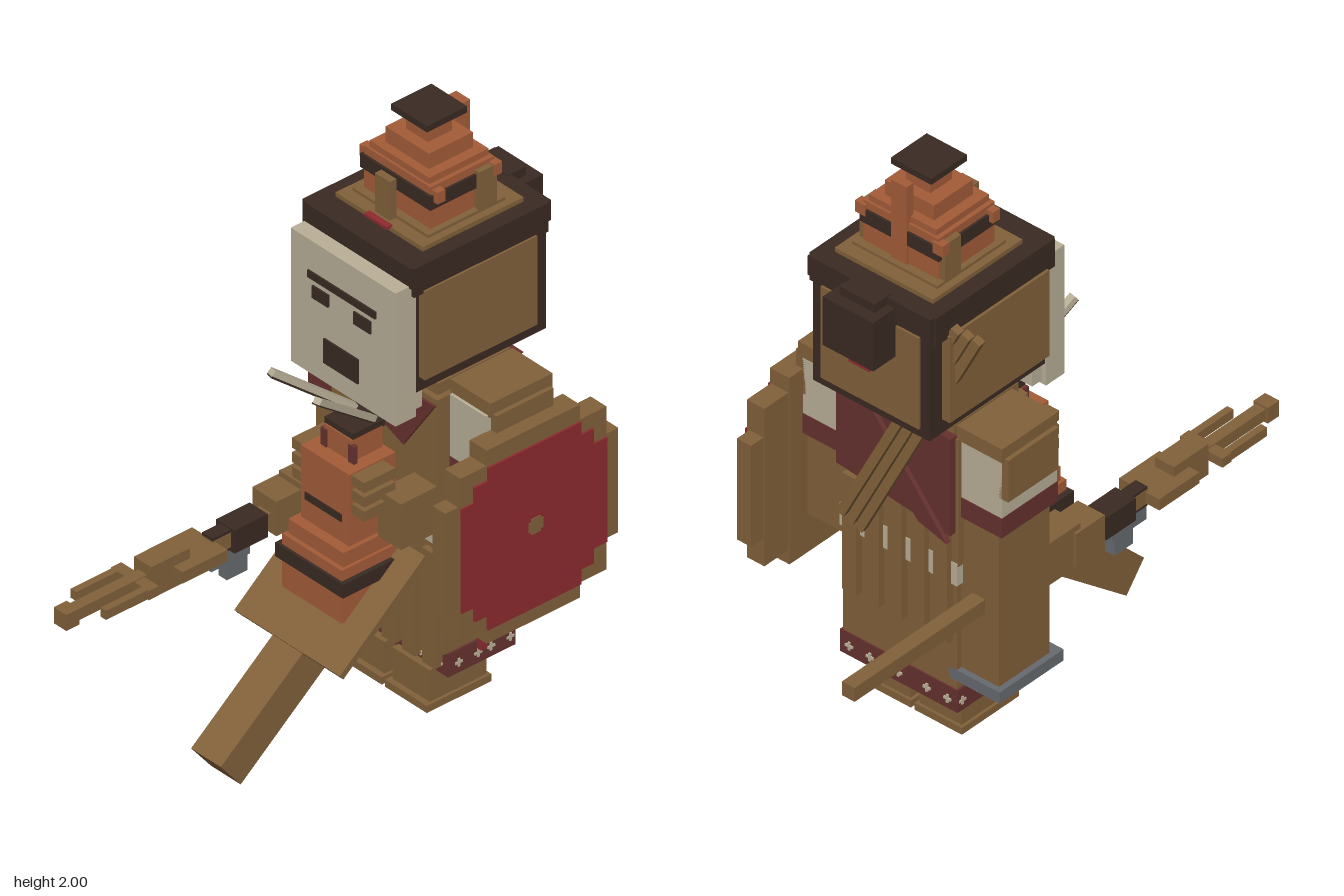
import * as THREE from 'three';

const mat = (name, color) => {
  const m = new THREE.MeshStandardMaterial({ color });
  m.name = name;
  return m;
};

export function createModel() {
  const wood = mat('brown', 0x82613a), dark = mat('darkBrown', 0x3a2a22), orange = mat('orange', 0xa45c38),
    cream = mat('cream', 0xbab098), maroon = mat('maroon', 0x66322f), red = mat('red', 0x8e2b2f), grey = mat('grey', 0x666b70);
  const root = new THREE.Group();
  root.name = 'warrior';
  const group = (name) => {
    const g = new THREE.Group();
    g.name = name;
    root.add(g);
    return g;
  };
  // Box from its limits on each axis
  const box = (g, name, m, x0, x1, y0, y1, z0, z1) => {
    const mesh = new THREE.Mesh(new THREE.BoxGeometry(x1 - x0, y1 - y0, z1 - z0), m);
    mesh.position.set((x0 + x1) / 2, (y0 + y1) / 2, (z0 + z1) / 2);
    mesh.name = name;
    g.add(mesh);
    return mesh;
  };
  // Square rod between two points
  const rod = (g, name, m, a, b, w, h = w) => {
    const p = new THREE.Vector3(...a), q = new THREE.Vector3(...b);
    const mesh = new THREE.Mesh(new THREE.BoxGeometry(w, h, p.distanceTo(q)), m);
    mesh.position.copy(p).add(q).multiplyScalar(0.5);
    mesh.lookAt(q);
    mesh.name = name;
    g.add(mesh);
    return mesh;
  };
  // Flat cloth piece in the xy plane
  const cloth = (g, name, m, pts, z, depth = 0.008) => {
    const shape = new THREE.Shape(pts.map((p) => new THREE.Vector2(...p)));
    const mesh = new THREE.Mesh(new THREE.ExtrudeGeometry(shape, { depth, bevelEnabled: false }), m);
    mesh.position.z = z;
    mesh.name = name;
    g.add(mesh);
  };

  // Feet
  const feet = group('feet');
  for (const [x0, x1] of [[-0.225, -0.042], [-0.028, 0.155]]) {
    box(feet, 'sole', wood, x0, x1, 0.045, 0.07, -0.33, -0.08);
    box(feet, 'boot', wood, x0 + 0.01, x1 - 0.01, 0.07, 0.18, -0.32, -0.1);
  }

  // Robe and torso
  const robe = group('robe');
  box(robe, 'hem', maroon, -0.257, 0.197, 0.17, 0.25, -0.385, -0.125);
  box(robe, 'skirt', wood, -0.25, 0.19, 0.25, 0.64, -0.38, -0.115);
  box(robe, 'belt', cream, -0.257, 0.197, 0.63, 0.71, -0.388, -0.1);
  box(robe, 'torso', wood, -0.26, 0.2, 0.7, 1.16, -0.385, -0.08);
  box(robe, 'neck', dark, -0.16, 0.1, 1.14, 1.28, -0.35, -0.1);
  box(robe, 'collar', wood, -0.24, 0.18, 1.14, 1.2, -0.38, -0.1);
  for (let i = 0; i < 5; i++) {
    const x = -0.235 + i * 0.088;
    box(robe, 'backPleat', wood, x, x + 0.055, 0.42, 0.84, -0.405, -0.37);
    box(robe, 'frontPleat', wood, x, x + 0.055, 0.2, 0.6, -0.13, -0.095);
  }
  for (const x of [-0.22, -0.14, -0.03, 0.08, 0.16]) {
    for (const z of [-0.388, -0.122]) {
      box(robe, 'hemStitch', cream, x - 0.014, x + 0.014, 0.203, 0.211, z - 0.003, z + 0.003);
      box(robe, 'hemStitch', cream, x - 0.004, x + 0.004, 0.193, 0.221, z - 0.003, z + 0.003);
    }
  }
  for (const z of [-0.365, -0.29, -0.24, -0.165]) {
    for (const x of [-0.258, 0.198]) {
      box(robe, 'hemStitch', cream, x - 0.003, x + 0.003, 0.203, 0.211, z - 0.014, z + 0.014);
      box(robe, 'hemStitch', cream, x - 0.003, x + 0.003, 0.193, 0.221, z - 0.004, z + 0.004);
    }
  }
  cloth(robe, 'lapel', maroon, [[-0.04, 0.98], [0.06, 0.94], [0.197, 1.14], [0.02, 1.14]], -0.08);
  cloth(robe, 'undershirt', cream, [[-0.03, 1.03], [0.04, 1.17], [-0.1, 1.17]], -0.078);
  cloth(robe, 'backCape', maroon, [[-0.25, 0.82], [0.19, 0.87], [0.19, 1.17], [-0.25, 1.17]], -0.41, 0.03);
  cloth(robe, 'capeFold', maroon, [[-0.25, 0.8], [-0.14, 0.83], [0.19, 1.17], [0.06, 1.17]], -0.425, 0.02);

  // Arms and sleeves
  const arms = group('arms');
  for (const [s, name] of [[-1, 'right'], [1, 'left']]) {
    const part = (n, m, a, b, y0, y1, z0, z1) => {
      const p = -0.03 + s * a, q = -0.03 + s * b;
      box(arms, name + n, m, Math.min(p, q), Math.max(p, q), y0, y1, z0, z1);
    };
    part('ShoulderPad', wood, 0.22, 0.395, 1.155, 1.205, -0.38, -0.14);
    part('ShoulderGuard', wood, 0.375, 0.41, 1.015, 1.165, -0.37, -0.15);
    part('UpperSleeve', cream, 0.22, 0.385, 0.94, 1.16, -0.37, -0.13);
    part('SleeveStripe', maroon, 0.22, 0.387, 0.875, 0.945, -0.373, -0.127);
  }
  box(arms, 'rightLowerSleeve', wood, -0.395, -0.25, 0.32, 0.88, -0.36, -0.14);
  box(arms, 'rightSleeveTrim', grey, -0.415, -0.22, 0.28, 0.32, -0.38, -0.1);
  box(arms, 'rightForearm', wood, -0.365, -0.265, 0.53, 0.68, -0.2, 0.03);
  box(arms, 'rightHand', wood, -0.375, -0.27, 0.54, 0.66, 0, 0.125);
  box(arms, 'leftLowerSleeve', wood, 0.19, 0.345, 0.58, 0.88, -0.36, -0.14);
  box(arms, 'leftForearm', wood, 0.1, 0.2, 0.7, 0.86, -0.2, 0.06);
  box(arms, 'buckle', grey, 0.225, 0.28, 0.55, 0.62, -0.13, -0.06);
  box(arms, 'buckleStud', wood, 0.24, 0.265, 0.575, 0.6, -0.062, -0.055);
  box(arms, 'dagger', grey, 0.235, 0.265, 0.5, 0.85, -0.13, -0.09);
  box(arms, 'tassel', red, 0.228, 0.245, 0.25, 0.56, -0.235, -0.21);
  box(arms, 'tassel', red, 0.265, 0.282, 0.31, 0.56, -0.255, -0.23);

  // Head with face plate
  const head = group('head');
  box(head, 'skull', dark, -0.255, 0.195, 1.22, 1.64, -0.505, 0);
  for (const x of [-0.285, 0.19]) box(head, 'sidePanel', wood, x, x + 0.03, 1.27, 1.58, -0.45, -0.015);
  box(head, 'backPanel', wood, -0.22, 0.16, 1.25, 1.58, -0.513, -0.5);
  box(head, 'hairBand', dark, -0.267, 0.207, 1.6, 1.67, -0.515, 0.027);
  for (const x of [-0.275, 0.2]) box(head, 'bandSide', dark, x, x + 0.013, 1.57, 1.67, -0.5, 0.02);
  box(head, 'crownPlate', wood, -0.22, 0.16, 1.66, 1.685, -0.45, -0.06);
  box(head, 'bun', dark, -0.13, 0.065, 1.47, 1.645, -0.61, -0.48);
  box(head, 'bunTop', dark, -0.1, 0.035, 1.63, 1.675, -0.57, -0.5);
  box(head, 'bunTie', red, -0.07, 0.01, 1.41, 1.48, -0.56, -0.5);
  box(head, 'faceCore', cream, -0.24, 0.18, 1.15, 1.59, -0.04, 0.03);
  box(head, 'faceMask', cream, -0.258, 0.198, 1.14, 1.605, 0, 0.08);
  const feature = (n, x0, x1, y0, y1) => box(head, n, dark, x0, x1, y0, y1, 0.078, 0.086);
  feature('brow', -0.18, 0.115, 1.475, 1.5);
  feature('eye', -0.16, -0.09, 1.412, 1.455);
  feature('eye', 0.02, 0.095, 1.412, 1.455);
  feature('mouth', -0.11, 0.04, 1.21, 1.295);

  // Tiered hat: half width, half depth, bottom, top
  const hat = group('hat');
  const tier = (n, m, hx, hz, y0, y1) => box(hat, n, m, -0.03 - hx, -0.03 + hx, y0, y1, -0.253 - hz, -0.253 + hz);
  tier('hatBrim', wood, 0.165, 0.15, 1.68, 1.695);
  tier('hatBase', orange, 0.145, 0.123, 1.69, 1.84);
  tier('hatBand', dark, 0.153, 0.131, 1.765, 1.813);
  tier('hatTier', orange, 0.13, 0.115, 1.83, 1.862);
  tier('hatTier', orange, 0.095, 0.085, 1.855, 1.915);
  tier('hatTop', orange, 0.047, 0.047, 1.91, 1.985);
  tier('hatCap', dark, 0.078, 0.078, 1.978, 2);
  for (const x of [-0.19, 0.11]) for (const z of [-0.37, -0.15])
    box(hat, 'hatCorner', orange, x - 0.01, x + 0.03, 1.79, 1.83, z - 0.015, z + 0.015);
  box(hat, 'hatPlaque', wood, -0.065, 0, 1.69, 1.825, -0.1, -0.075);
  for (const x of [-0.195, 0.115]) box(hat, 'hatSideTab', wood, x, x + 0.02, 1.69, 1.825, -0.37, -0.3);
  box(hat, 'hatPost', orange, -0.06, 0, 1.69, 1.975, -0.385, -0.355);
  box(hat, 'hatRibbon', red, -0.08, 0.02, 1.68, 1.69, -0.067, -0.045);

  // Bundle of sticks slung across the back
  const bundle = group('backSticks');
  [-1, 0, 1].forEach((i) => rod(bundle, 'stick', wood,
    [-0.325 + i * 0.03, 1.59 + i * 0.012, -0.415 - i * 0.012], [0.09 + i * 0.035, 0.74 + i * 0.012, -0.455], 0.03));

  // Shield on the left arm, with stepped corners
  const shield = group('shield');
  box(shield, 'shieldCore', wood, 0.36, 0.415, 0.58, 0.945, -0.59, 0.08);
  box(shield, 'shieldBoard', wood, 0.357, 0.425, 0.48, 1.05, -0.535, 0.03);
  box(shield, 'shieldCentre', wood, 0.353, 0.428, 0.43, 1.105, -0.43, -0.07);
  for (const [z0, z1, y0, y1, x] of [[-0.43, -0.07, 0.48, 1.047, 0.435], [-0.48, -0.02, 0.53, 1.0, 0.433], [-0.535, 0.03, 0.58, 0.945, 0.431]])
    box(shield, 'shieldField', red, x - 0.008, x, y0, y1, z0, z1);
  box(shield, 'shieldStud', wood, 0.434, 0.438, 0.74, 0.795, -0.27, -0.235);
  box(shield, 'shieldStud', wood, 0.434, 0.438, 0.75, 0.785, -0.28, -0.225);
  box(shield, 'shieldGrip', wood, 0.19, 0.37, 0.74, 0.785, -0.27, -0.23);
  box(shield, 'shieldGrip', wood, 0.19, 0.37, 0.565, 0.59, -0.27, -0.23);

  // Long polearm in the right hand
  const pole = group('polearm');
  box(pole, 'shaft', wood, -0.342, -0.293, 0.56, 0.61, -0.93, 0.35);
  box(pole, 'frontShaft', wood, -0.337, -0.298, 0.565, 0.605, 0.3, 0.9);
  box(pole, 'tip', wood, -0.345, -0.29, 0.556, 0.612, 0.87, 0.92);
  box(pole, 'wrap', dark, -0.358, -0.278, 0.545, 0.625, 0.15, 0.28);
  box(pole, 'wrapFront', dark, -0.34, -0.295, 0.55, 0.62, 0.27, 0.35);
  box(pole, 'guard', wood, -0.395, -0.24, 0.565, 0.605, 0.34, 0.515);
  box(pole, 'guardBlock', wood, -0.355, -0.28, 0.53, 0.64, 0.45, 0.6);
  box(pole, 'crossbar', wood, -0.4, -0.235, 0.57, 0.602, 0.61, 0.65);
  for (const x of [-0.395, -0.265]) box(pole, 'prong', wood, x, x + 0.024, 0.57, 0.602, 0.62, 0.81);
  box(pole, 'blade', grey, -0.337, -0.3, 0.5, 0.56, 0.2, 0.35);
  box(pole, 'bladeTip', grey, -0.337, -0.3, 0.445, 0.51, 0.21, 0.29);

  // Sloping board with its thick handle
  const board = group('board');
  rod(board, 'boardPlate', wood, [-0.03, 0.357, 0.29], [-0.03, 0.63, -0.04], 0.46, 0.022);
  rod(board, 'boardHandle', wood, [-0.037, 0.052, 0.566], [-0.037, 0.38, 0.16], 0.13, 0.122);

  // Small tiered lantern standing on the board
  const lantern = group('lantern');
  box(lantern, 'lanternFoot', orange, -0.14, 0.08, 0.41, 0.47, 0.02, 0.175);
  box(lantern, 'lanternBase', orange, -0.16, 0.1, 0.455, 0.64, -0.04, 0.2);
  box(lantern, 'lanternBand', dark, -0.18, 0.115, 0.555, 0.603, -0.05, 0.21);
  box(lantern, 'lanternTier', orange, -0.15, 0.09, 0.63, 0.69, -0.04, 0.185);
  box(lantern, 'lanternBody', orange, -0.135, 0.075, 0.68, 0.94, -0.03, 0.15);
  box(lantern, 'lanternSlot', dark, -0.115, 0.045, 0.762, 0.787, 0.146, 0.154);
  box(lantern, 'lanternNeck', orange, -0.09, 0.03, 0.93, 1.015, -0.02, 0.1);
  for (const x of [-0.1, 0.02]) box(lantern, 'neckStrap', maroon, x, x + 0.025, 0.93, 1.0, 0.09, 0.105);
  box(lantern, 'lanternCap', dark, -0.095, 0.03, 1.01, 1.035, -0.03, 0.095);
  for (const x of [-0.185, 0.075]) for (const y of [0.8, 0.85, 0.9])
    box(lantern, 'finger', wood, x, x + 0.055, y, y + 0.035, 0.02, 0.14);

  // Two sticks rising from the lantern
  for (const s of [-1, 1]) {
    const a = [-0.03 + s * 0.04, 1.04, 0.0], b = [-0.03 + s * 0.1, 1.25, 0.268];
    rod(lantern, 'risingStick', cream, a, b, 0.026, 0.02);
    const drop = (p) => [p[0], p[1] - 0.009, p[2] + 0.007];
    rod(lantern, 'stickUnderside', dark, drop(a), drop(b), 0.0262, 0.006);
  }
  return root;
}
